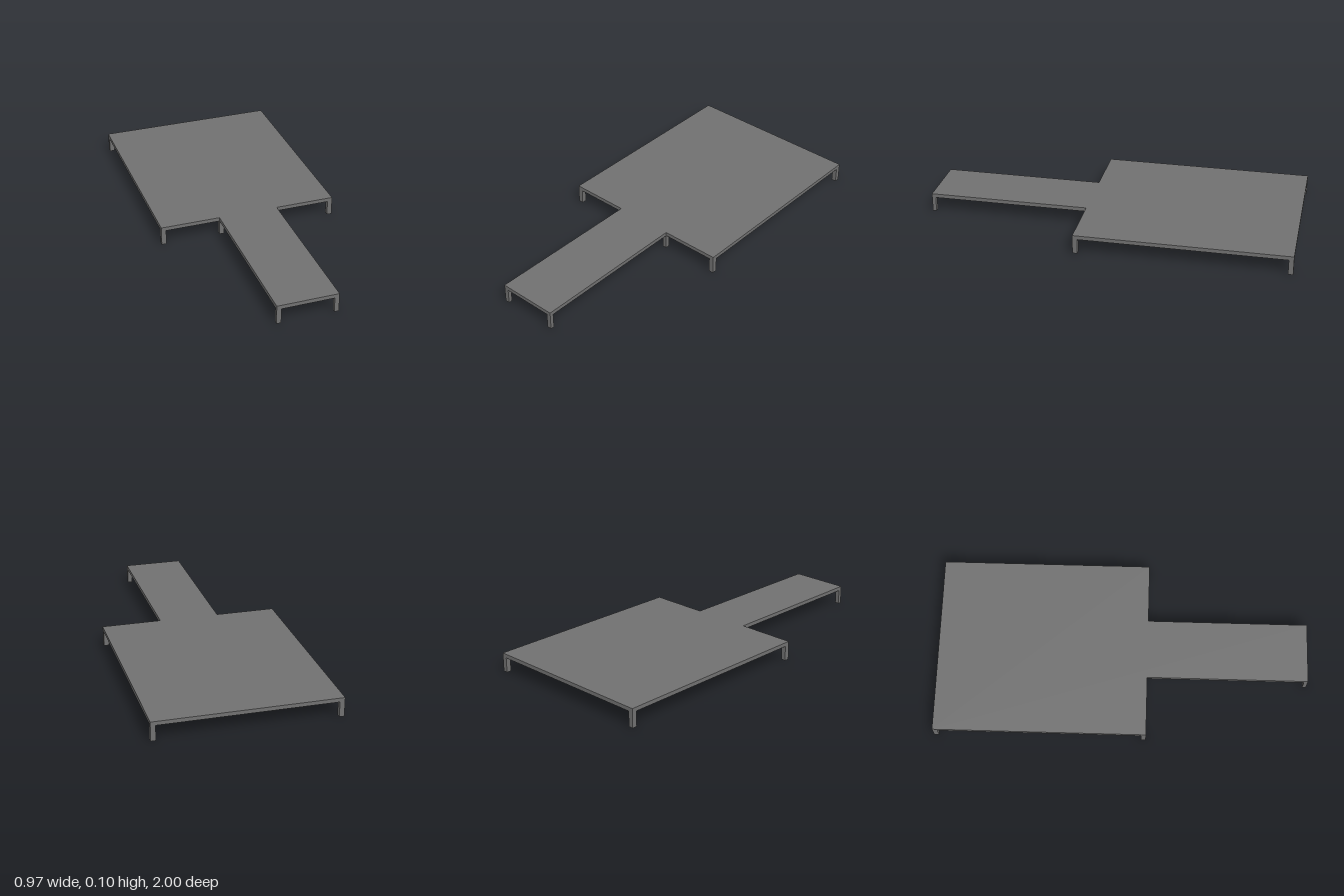
import * as THREE from 'three';

export function createModel() {
  const model = new THREE.Group();
  const material = new THREE.MeshStandardMaterial({ color: 0x707070, flatShading: true });

  // Box given by its extents along each axis
  function block(name, [x0, x1], [y0, y1], [z0, z1]) {
    const mesh = new THREE.Mesh(new THREE.BoxGeometry(x1 - x0, y1 - y0, z1 - z0), material);
    mesh.position.set((x0 + x1) / 2, (y0 + y1) / 2, (z0 + z1) / 2);
    mesh.name = name;
    model.add(mesh);
  }

  const top = 0.102, under = 0.081;
  const halfWidth = 0.485, junction = 0.135;
  const walkRight = -0.163, walkLeft = 0.162;

  // T-shaped deck: wide platform and narrow walkway in one slab
  const outline = new THREE.Shape([
    [-halfWidth, 1], [-halfWidth, -junction], [walkRight, -junction], [walkRight, -1],
    [walkLeft, -1], [walkLeft, -junction], [halfWidth, -junction], [halfWidth, 1],
  ].map(([x, y]) => new THREE.Vector2(x, y)));
  const slab = new THREE.ExtrudeGeometry(outline, { depth: top - under, bevelEnabled: false });
  slab.rotateX(-Math.PI / 2);
  const deck = new THREE.Mesh(slab, material);
  deck.position.y = under;
  deck.name = 'deck';
  model.add(deck);

  // Platform corner legs
  const w = 0.026;
  for (const [side, x] of [['Right', -halfWidth], ['Left', halfWidth - w]]) {
    block('backLeg' + side, [x, x + w], [0, under], [-1, -1 + w]);
    block('platformFrontLeg' + side, [x, x + w], [0, under], [junction - w, junction]);
  }

  // Walkway legs, at the junction and at the far end
  const n = 0.024;
  for (const [side, x] of [['Right', walkRight], ['Left', walkLeft - n]]) {
    block('junctionLeg' + side, [x, x + n], [0, under], [junction - n, junction]);
    block('walkwayEndLeg' + side, [x, x + n], [0, under], [0.98, 1]);
  }

  return model;
}
